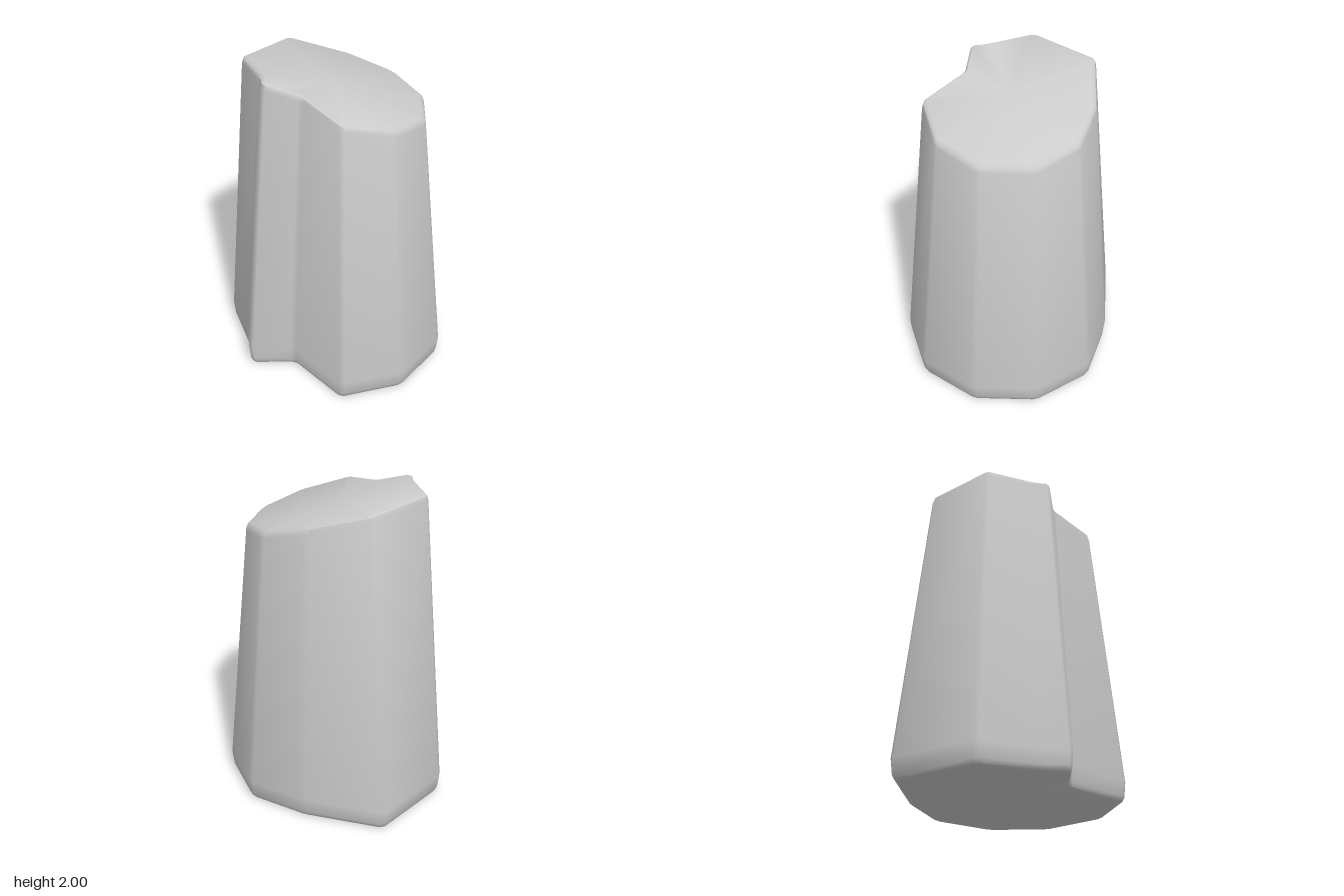
import * as THREE from 'three';
import { toCreasedNormals } from 'three/addons/utils/BufferGeometryUtils.js';

// Matching outlines [x, z] at the widest part of the foot and at the cut top
const FOOT = [[-0.445, -0.685], [0.08, -0.657], [0.465, -0.54], [0.705, -0.2], [0.705, 0.21], [0.465, 0.552],
  [0.07, 0.685], [-0.25, 0.342], [-0.54, 0.357], [-0.57, 0.19], [-0.71, -0.175]];
const TOP = [[-0.305, -0.518], [0.08, -0.518], [0.37, -0.42], [0.552, -0.17], [0.552, 0.16], [0.37, 0.415],
  [0.06, 0.515], [-0.18, 0.275], [-0.402, 0.25], [-0.425, 0.15], [-0.563, -0.14]];

// Slanted cut, level at its high end
const cutHeight = (x) => 2 - 0.272 * Math.max(0, x + 0.4);

// Replace each corner by two points close to it
function softenCorners(outline, distance) {
  const n = outline.length;
  return outline.flatMap((p, i) => [outline[(i + n - 1) % n], outline[(i + 1) % n]].map((q) => {
    const t = distance / Math.hypot(q[0] - p[0], q[1] - p[1]);
    return [p[0] + (q[0] - p[0]) * t, p[1] + (q[1] - p[1]) * t];
  }));
}

function stumpGeometry() {
  const foot = softenCorners(FOOT, 0.022);
  const top = softenCorners(TOP, 0.016);
  const n = foot.length;

  // Rings from the ground up: outline, scale, height rule
  const rings = [
    [foot, 0.935, () => 0],
    [foot, 0.965, () => 0.008],
    [foot, 0.985, () => 0.035],
    [foot, 1, () => 0.13],
    [top, 1, (x) => cutHeight(x) - 0.04],
    [top, 0.985, (x) => cutHeight(x) - 0.012],
    [top, 0.945, cutHeight],
  ];
  const positions = [];
  for (const [outline, scale, height] of rings) {
    for (const [x, z] of outline) positions.push(x * scale, height(x * scale), z * scale);
  }
  const bottomCentre = rings.length * n;
  const topCentre = bottomCentre + 1;
  positions.push(0, 0, 0, 0, cutHeight(0), 0);

  const index = [];
  const lastRing = (rings.length - 1) * n;
  for (let i = 0; i < n; i++) {
    const j = (i + 1) % n;
    for (let r = 0; r < rings.length - 1; r++) {
      const a = r * n + i, b = r * n + j;
      index.push(a, a + n, b, b, a + n, b + n);
    }
    index.push(bottomCentre, i, j);
    index.push(topCentre, lastRing + j, lastRing + i);
  }

  const geometry = new THREE.BufferGeometry();
  geometry.setAttribute('position', new THREE.Float32BufferAttribute(positions, 3));
  geometry.setIndex(index);
  return toCreasedNormals(geometry, 0.75);
}

export function createModel() {
  const group = new THREE.Group();
  group.name = 'slantedStump';
  const stump = new THREE.Mesh(stumpGeometry(), new THREE.MeshStandardMaterial({ color: 0xcccccc }));
  stump.name = 'stumpBody';
  group.add(stump);
  return group;
}
